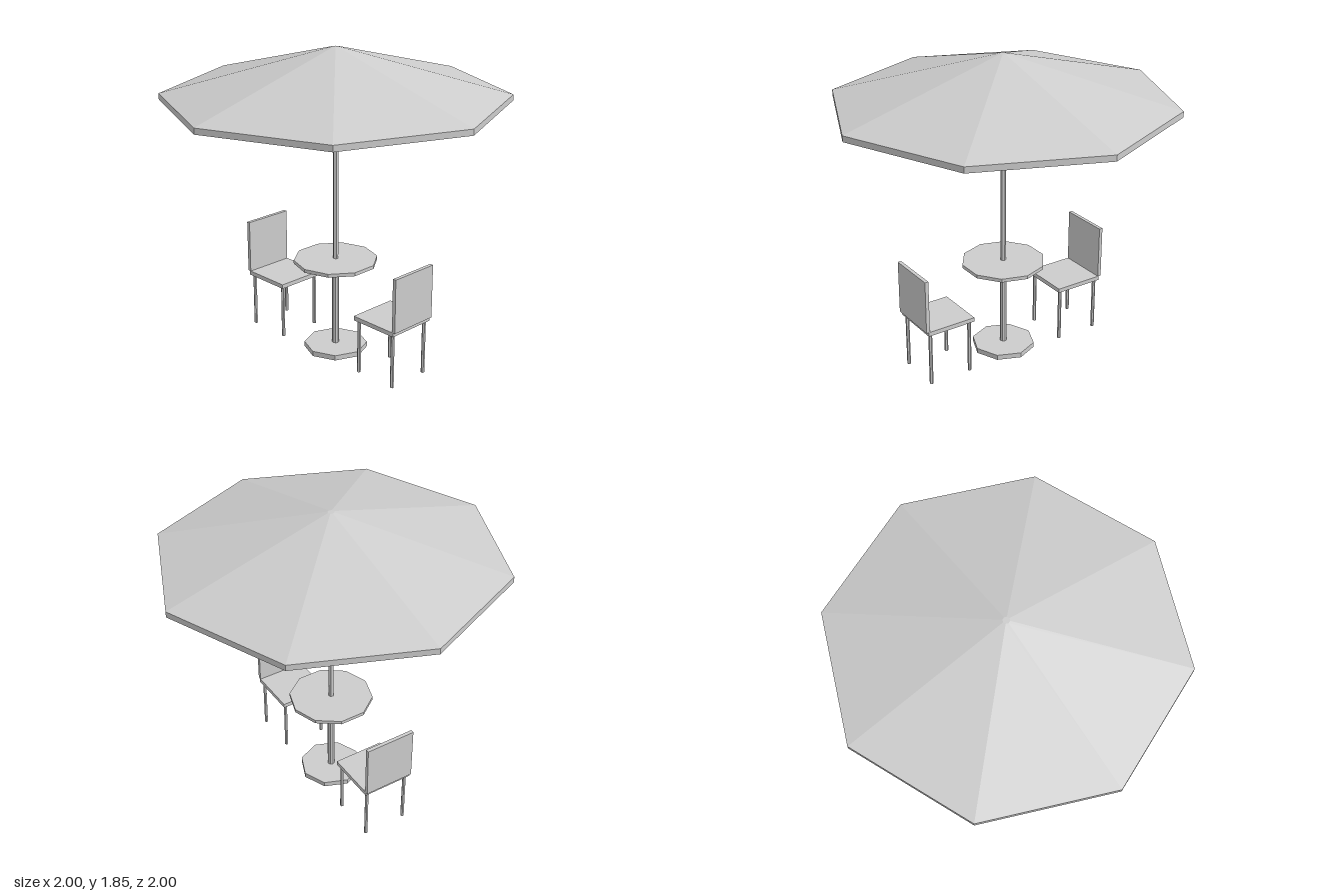
import * as THREE from 'three';

export function createModel() {
  const model = new THREE.Group();
  model.name = 'patioSet';
  const grey = new THREE.MeshStandardMaterial({ color: 0xcccccc, flatShading: true });
  grey.name = 'lightGrey';

  function add(parent, name, geometry, x, y, z) {
    const mesh = new THREE.Mesh(geometry, grey);
    mesh.name = name;
    mesh.position.set(x, y, z);
    parent.add(mesh);
    return mesh;
  }
  // Upright prism or frustum between two heights
  function prism(parent, name, rTop, rBottom, y0, y1, sides, x = 0, z = 0, open = false) {
    const geometry = new THREE.CylinderGeometry(rTop, rBottom, y1 - y0, sides, 1, open);
    return add(parent, name, geometry, x, (y0 + y1) / 2, z);
  }

  // Parasol: one closed eight-sided profile with a straight rim
  const profile = [[0, 1.545], [1, 1.545], [1, 1.58], [0.02, 1.85], [0, 1.85]]
    .map(([r, y]) => new THREE.Vector2(r, y));
  add(model, 'canopy', new THREE.LatheGeometry(profile, 8), 0, 0, 0);

  // Table, pole and foot
  prism(model, 'upperPole', 0.016, 0.016, 0.57, 1.55, 6);
  prism(model, 'lowerPole', 0.021, 0.021, 0.02, 0.57, 8);
  prism(model, 'tableTop', 0.25, 0.25, 0.56, 0.581, 10);
  prism(model, 'base', 0.19, 0.19, 0, 0.031, 8);

  // Two chairs facing the table
  for (const side of [-1, 1]) {
    const chair = new THREE.Group();
    chair.name = side > 0 ? 'leftChair' : 'rightChair';
    add(chair, 'seat', new THREE.BoxGeometry(0.306, 0.026, 0.306), side * 0.459, 0.343, 0);
    add(chair, 'backrest', new THREE.BoxGeometry(0.022, 0.324, 0.306), side * 0.616, 0.518, 0);
    for (const x of [0.329, 0.591]) {
      for (const z of [-0.131, 0.131]) {
        prism(chair, 'chairLeg', 0.011, 0.011, 0, 0.332, 6, side * x, z);
      }
    }
    model.add(chair);
  }
  return model;
}
